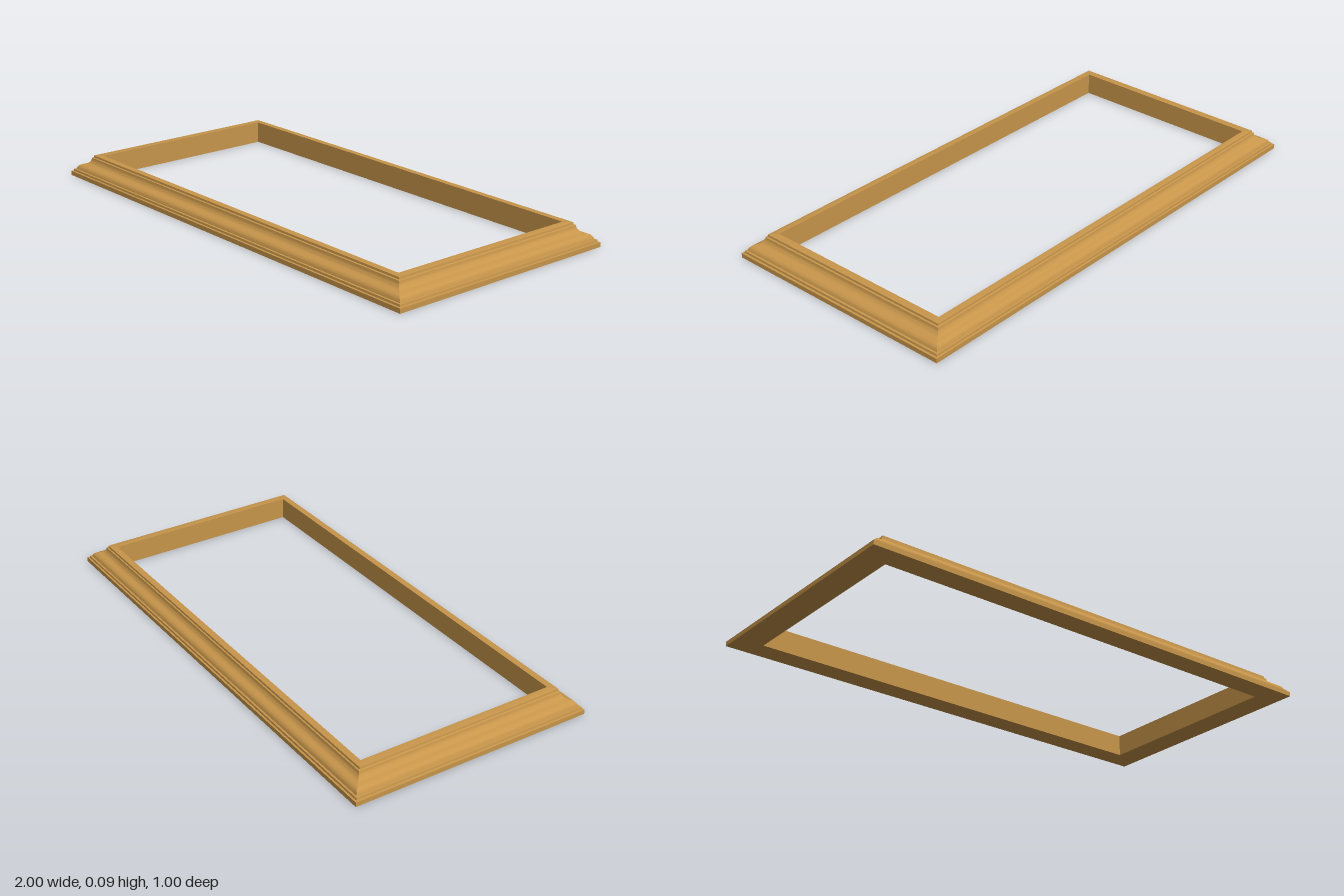
import * as THREE from 'three';
import { toCreasedNormals } from 'three/addons/utils/BufferGeometryUtils.js';

const HALF_X = 0.997, HALF_Z = 0.495; // outer half sizes
const STRETCH_X = 1.18;               // end rails are a little wider than the long ones

// Moulding section as [inset from outer edge, height]: plinth, fillet, ogee, top band, inner wall
function mouldingProfile() {
  const ogee = new THREE.CurvePath();
  const v = (x, y) => new THREE.Vector2(x, y);
  ogee.add(new THREE.CubicBezierCurve(v(0.015, 0.028), v(0.017, 0.042), v(0.025, 0.048), v(0.037, 0.051)));
  ogee.add(new THREE.CubicBezierCurve(v(0.037, 0.051), v(0.049, 0.054), v(0.058, 0.063), v(0.059, 0.079)));
  const curve = ogee.curves.flatMap((c, i) => c.getPoints(8).slice(i));
  return [
    v(0, 0), v(0, 0.018), v(0.007, 0.019), v(0.008, 0.027),
    ...curve,
    v(0.064, 0.081), v(0.065, 0.089), v(0.091, 0.089), v(0.091, 0), v(0, 0),
  ];
}

// One mitred rail swept between two corners
function railGeometry(profile, a, b) {
  const at = (p, [sx, sz]) => [sx * (HALF_X - STRETCH_X * p.x), p.y, sz * (HALF_Z - p.x)];
  const pos = [];
  for (let i = 0; i < profile.length - 1; i++) {
    const p = profile[i], q = profile[i + 1];
    const pa = at(p, a), pb = at(p, b), qa = at(q, a), qb = at(q, b);
    pos.push(...pa, ...pb, ...qb, ...pa, ...qb, ...qa);
  }
  const geo = new THREE.BufferGeometry();
  geo.setAttribute('position', new THREE.Float32BufferAttribute(pos, 3));
  return toCreasedNormals(geo, 0.5);
}

export function createModel() {
  const group = new THREE.Group();
  group.name = 'mouldedFrame';
  const wood = new THREE.MeshStandardMaterial({ color: 0xc8964b });
  wood.name = 'goldenWood';

  const profile = mouldingProfile();
  const corners = [[1, 1], [1, -1], [-1, -1], [-1, 1]];
  const names = ['leftRail', 'backRail', 'rightRail', 'frontRail'];
  names.forEach((name, i) => {
    const rail = new THREE.Mesh(railGeometry(profile, corners[i], corners[(i + 1) % 4]), wood);
    rail.name = name;
    group.add(rail);
  });

  // The frame sits very slightly askew
  group.rotation.y = -0.005;
  return group;
}
